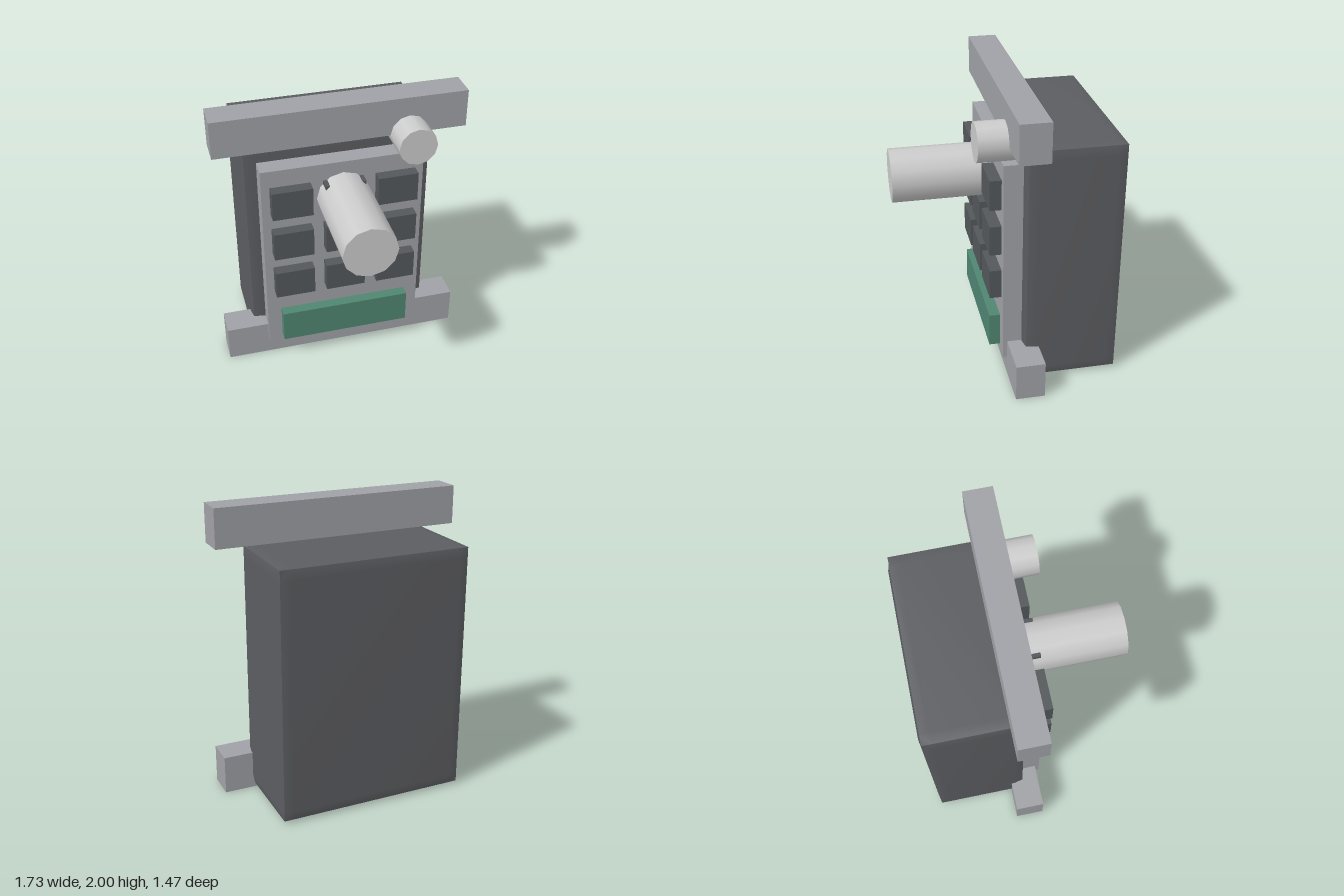
import * as THREE from 'three';

const paint = (color) => new THREE.MeshStandardMaterial({ color });

export function createModel() {
  const model = new THREE.Group();
  const mats = {
    housing: paint(0x5c5d61), frame: paint(0xa0a1a6), key: paint(0x54585b),
    screen: paint(0x4f8571), metal: paint(0xcccccc),
  };

  const add = (name, geometry, material, x, y, z) => {
    const mesh = new THREE.Mesh(geometry, material);
    mesh.name = name;
    mesh.position.set(x, y, z);
    model.add(mesh);
    return mesh;
  };

  // Box given by its size, centre and back/front depth
  const block = (name, material, w, h, x, y, back, front) =>
    add(name, new THREE.BoxGeometry(w, h, front - back), material, x, y, (back + front) / 2);

  // Twelve-sided knob pointing forward
  const knob = (name, r, x, y, back, front) => {
    const geometry = new THREE.CylinderGeometry(r, r, front - back, 12).rotateX(Math.PI / 2);
    add(name, geometry, mats.metal, x, y, (back + front) / 2);
  };

  // Housing with eased edges: each edge is pulled in slightly, faces stay flat inside the margin
  const size = [1.325, 1.725, 0.665], margin = 0.08, pull = 0.014;
  const shell = new THREE.BoxGeometry(1, 1, 1, 3, 3, 3);
  const pos = shell.attributes.position;
  for (let i = 0; i < pos.count; i++) {
    const p = [pos.getX(i), pos.getY(i), pos.getZ(i)];
    const outer = p.map((v) => Math.abs(v) > 0.4);
    const onEdge = outer.filter(Boolean).length > 1;
    const q = p.map((v, a) =>
      Math.sign(v) * (size[a] / 2 - (outer[a] ? (onEdge ? pull : 0) : margin)));
    pos.setXYZ(i, ...q);
  }
  shell.computeVertexNormals();
  add('housing', shell, mats.housing, 0, 0.8725, -0.3975);

  // Mounting bars across the top and bottom
  block('topBar', mats.frame, 1.73, 0.265, 0, 1.8675, -0.165, 0.035);
  block('bottomBar', mats.frame, 1.73, 0.265, 0, 0.1325, -0.165, 0.035);

  // Front panel with a three by three keypad and a display
  block('frontPanel', mats.frame, 1.13, 1.465, 0, 0.87, -0.07, 0.065);
  for (const y of [0.703, 1.037, 1.37])
    for (const x of [-0.367, 0, 0.367])
      block('key', mats.key, 0.28, 0.212, x, y, 0.05, 0.145);
  block('display', mats.screen, 0.93, 0.242, 0, 0.303, 0.05, 0.14);

  // Long central knob and short corner knob
  knob('mainKnob', 0.185, 0, 1.335, 0.05, 0.735);
  knob('cornerKnob', 0.132, 0.465, 1.737, -0.1, 0.232);

  return model;
}
